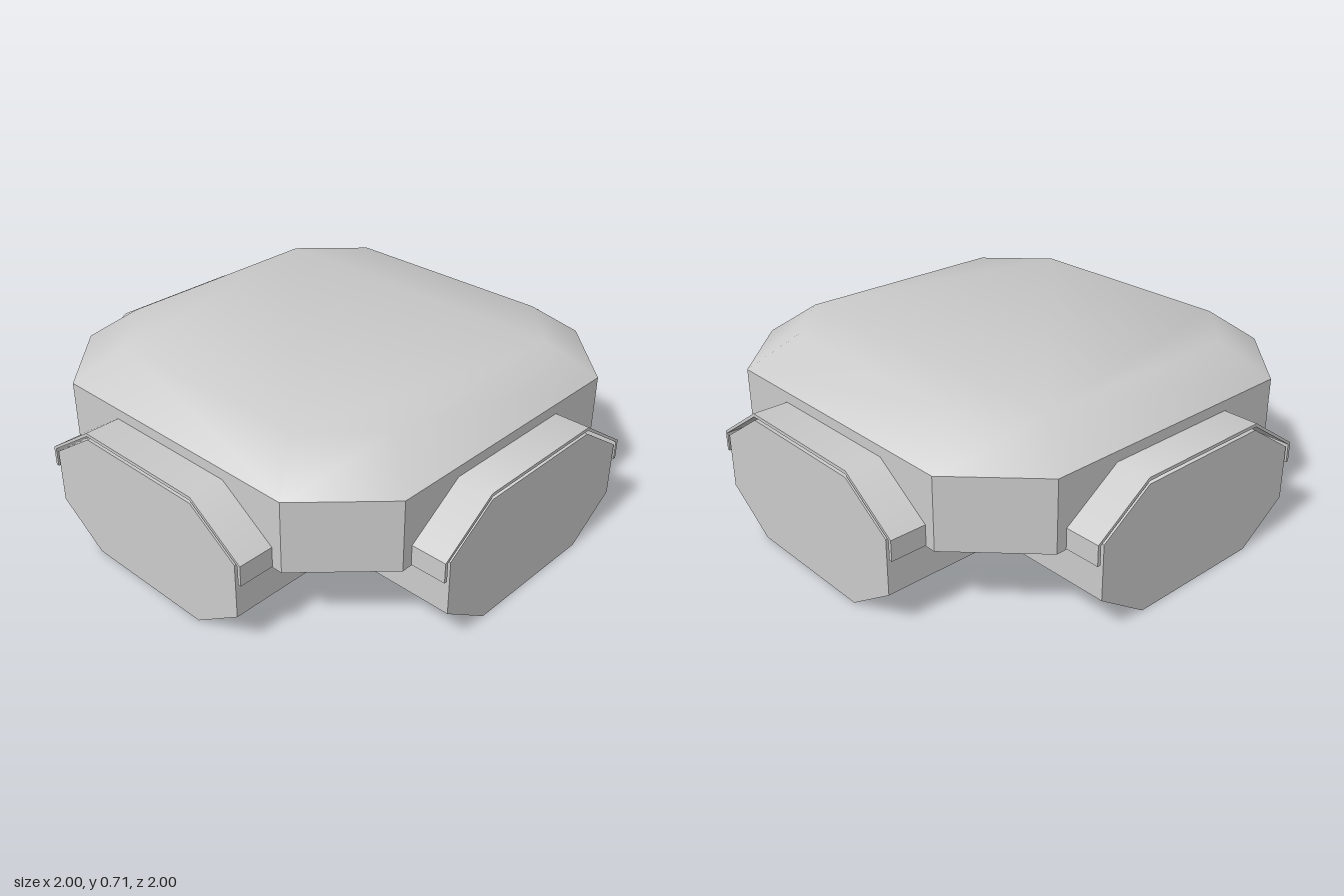
import * as THREE from 'three';
import { toCreasedNormals } from 'three/addons/utils/BufferGeometryUtils.js';
import { ConvexGeometry } from 'three/addons/geometries/ConvexGeometry.js';

const CREASE = 0.75;
const material = new THREE.MeshStandardMaterial({ color: 0xcccccc });

function addMesh(parent, name, geometry) {
  const mesh = new THREE.Mesh(toCreasedNormals(geometry, CREASE), material);
  mesh.name = name;
  parent.add(mesh);
}

// Extrudes an outline along z, centred on z = 0, over the full length
function extrudeAlongZ(points) {
  const shape = new THREE.Shape(points.map(([x, y]) => new THREE.Vector2(x, y)));
  const geometry = new THREE.ExtrudeGeometry(shape, { depth: 2, bevelEnabled: false });
  return geometry.translate(0, 0, -1);
}

// Octagon with long sides and cut corners, at height y
function cutSquare(y, scale) {
  const a = 0.857 * scale, b = 0.57 * scale;
  return [[a, b], [b, a], [-b, a], [-a, b], [-a, -b], [-b, -a], [b, -a], [a, -b]]
    .map(([x, z]) => new THREE.Vector3(x, y, z));
}

// Right half of an arch outline, bottom to top, completed by mirroring
const mirrored = (half) => [...half, ...half.map(([x, y]) => [-x, y]).reverse()];

export function createModel() {
  const model = new THREE.Group();

  // Central body: upright walls and a sloped rim around the flat top
  addMesh(model, 'body', new ConvexGeometry(
    [...cutSquare(0.287, 1), ...cutSquare(0.573, 1), ...cutSquare(0.707, 0.8)]));

  // Two crossing octagonal beams, each under a thin arched cover
  const beam = mirrored([[0.287, 0], [0.5, 0.143], [0.5, 0.362], [0.287, 0.505]]);
  const outer = mirrored([[0.527, 0.29], [0.527, 0.371], [0.291, 0.531]]);
  const inner = mirrored([[0.514, 0.29], [0.514, 0.367], [0.289, 0.518]]);
  const cover = [...outer, ...inner.reverse()];

  for (const [name, turn] of [['lengthwise', 0], ['crosswise', Math.PI / 2]]) {
    const arm = new THREE.Group();
    arm.name = name + 'Arm';
    arm.rotation.y = turn;
    addMesh(arm, name + 'Beam', extrudeAlongZ(beam));
    addMesh(arm, name + 'Cover', extrudeAlongZ(cover));
    model.add(arm);
  }
  return model;
}
